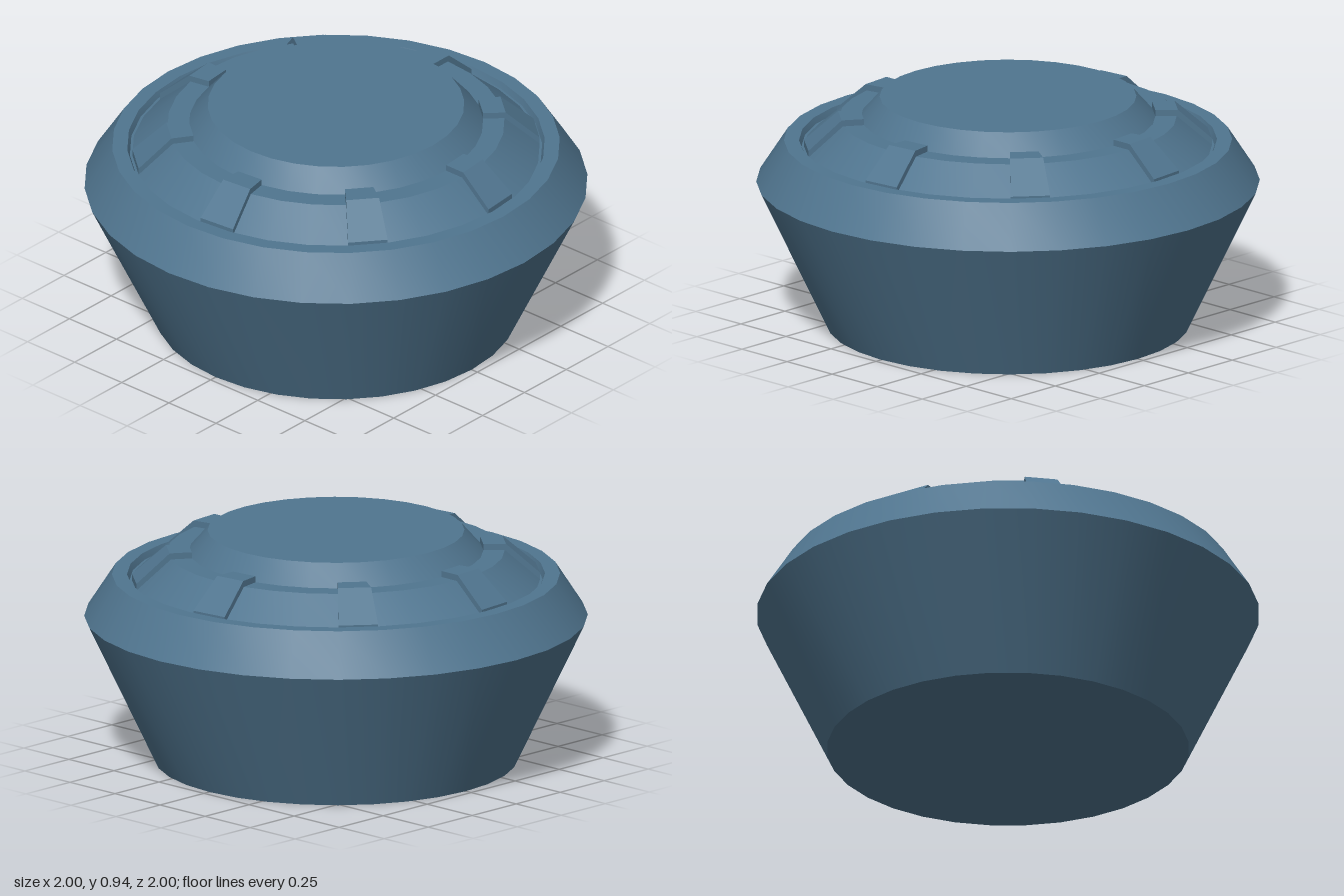
import * as THREE from 'three';
import { toCreasedNormals } from 'three/addons/utils/BufferGeometryUtils.js';

const SIDES = 32;
const STEP = (Math.PI * 2) / SIDES;
const points = (list) => list.map(([r, y]) => new THREE.Vector2(r, y));

// Wedge spanning one side of the body: an extruded profile bent around the y axis
function wedge(profile) {
  const geo = new THREE.ExtrudeGeometry(new THREE.Shape(points(profile)), { depth: 1, bevelEnabled: false });
  const pos = geo.attributes.position;
  for (let i = 0; i < pos.count; i++) {
    const r = pos.getX(i);
    const a = STEP * (1 - pos.getZ(i));
    pos.setXYZ(i, r * Math.sin(a), pos.getY(i), r * Math.cos(a));
  }
  geo.computeVertexNormals();
  return geo;
}

export function createModel() {
  const group = new THREE.Group();
  const blue = new THREE.MeshStandardMaterial({ color: 0x50758f });
  blue.name = 'steelBlue';

  // Turned body: tapered base, bevelled rim, shallow groove, stepped raised cap
  const profile = points([
    [0, 0], [0.72, 0], [1, 0.59], [0.89, 0.76], [0.83, 0.76], [0.82, 0.735],
    [0.81, 0.735], [0.67, 0.855], [0.585, 0.855], [0.51, 0.94], [0, 0.94],
  ]);
  const body = new THREE.Mesh(toCreasedNormals(new THREE.LatheGeometry(profile, SIDES), 0.5), blue);
  body.name = 'body';
  group.add(body);

  // Eight bent clips lying over the sloped shoulder
  const clipGeo = wedge([
    [0.585, 0.84], [0.66, 0.84], [0.79, 0.725], [0.81, 0.735], [0.81, 0.762], [0.675, 0.88], [0.585, 0.88],
  ]);
  const clips = new THREE.Group();
  clips.name = 'clips';
  for (let i = 0; i < 8; i++) {
    const clip = new THREE.Mesh(clipGeo, blue);
    clip.name = 'clip' + (i + 1);
    clip.rotation.y = (i * Math.PI) / 4;
    clips.add(clip);
  }
  group.add(clips);
  return group;
}
